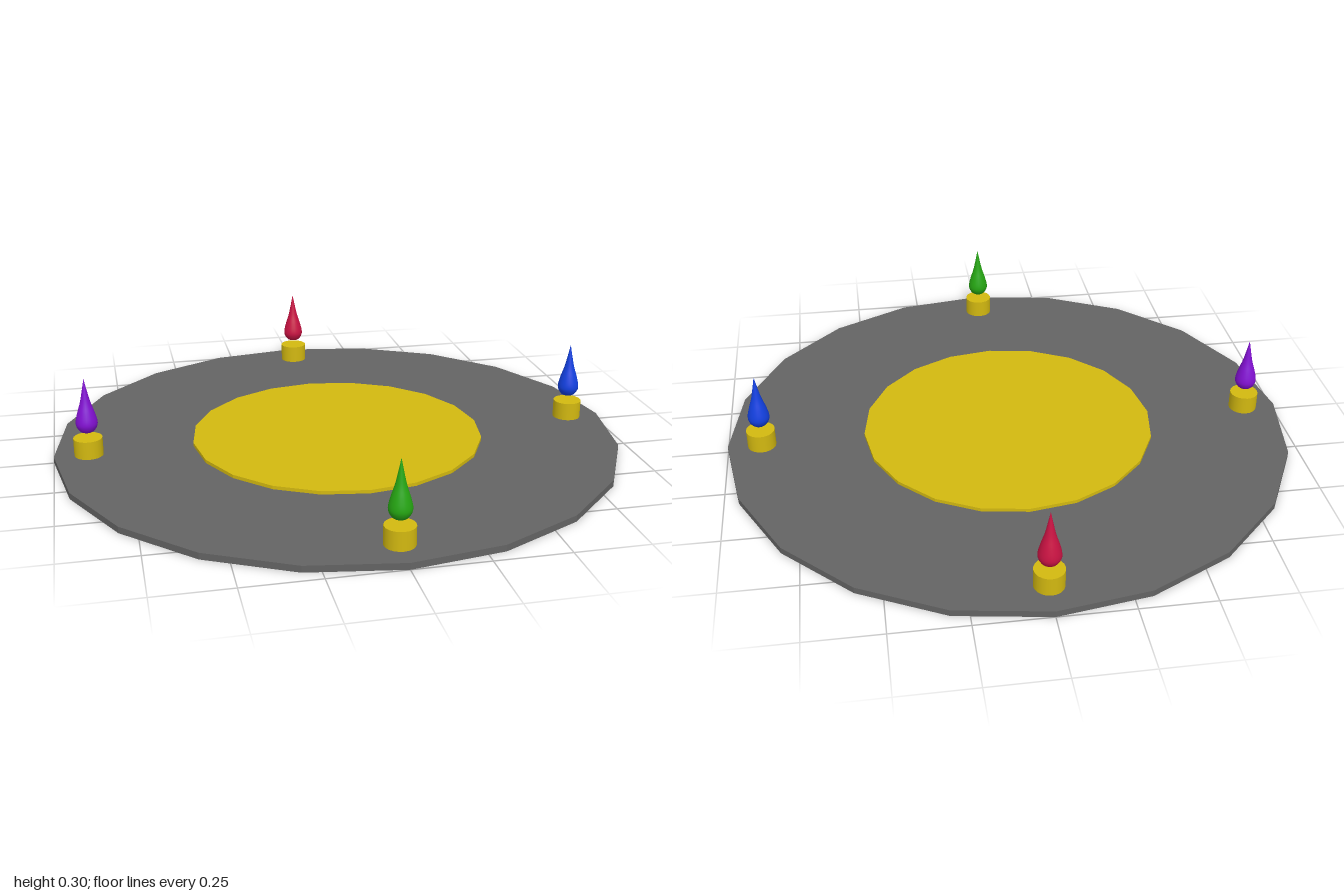
import * as THREE from 'three';

const paint = (color, flatShading = false) => new THREE.MeshStandardMaterial({ color, flatShading });

// Upright cylinder between two heights
function disc(name, radius, y0, y1, sides, material) {
  const geometry = new THREE.CylinderGeometry(radius, radius, y1 - y0, sides);
  geometry.translate(0, (y0 + y1) / 2, 0);
  const mesh = new THREE.Mesh(geometry, material);
  mesh.name = name;
  return mesh;
}

// Teardrop flame: round below, drawn out to a point above
function flameGeometry() {
  const profile = new THREE.SplineCurve([
    [0, 0.104], [0.022, 0.11], [0.035, 0.128], [0.037, 0.147],
    [0.029, 0.18], [0.018, 0.215], [0.009, 0.255], [0, 0.3],
  ].map(([r, y]) => new THREE.Vector2(r, y)));
  const points = profile.getPoints(28).map((p) => new THREE.Vector2(Math.max(p.x, 0), p.y));
  return new THREE.LatheGeometry(points, 24);
}

export function createModel() {
  const model = new THREE.Group();
  model.name = 'candlePlatform';
  const gold = paint(0xd2b810);

  // Twenty-sided platform with a raised central plate
  model.add(disc('platform', 1, 0, 0.022, 20, paint(0x636363, true)));
  model.add(disc('centralPlate', 0.518, 0.005, 0.034, 20, paint(0xd2b810, true)));

  // Four pedestals with floating flames: front, left, back, right
  const flame = flameGeometry();
  const colors = { front: 0x25a512, left: 0x1240e0, back: 0xc81242, right: 0x8210d2 };
  Object.entries(colors).forEach(([side, color], i) => {
    const candle = new THREE.Group();
    candle.name = `${side}Candle`;
    candle.add(disc('pedestal', 0.05, 0.005, 0.086, 20, gold));
    const mesh = new THREE.Mesh(flame, paint(color));
    mesh.name = 'flame';
    candle.add(mesh);
    const angle = (i * Math.PI) / 2;
    candle.position.set(0.88 * Math.sin(angle), 0, 0.88 * Math.cos(angle));
    model.add(candle);
  });
  return model;
}
